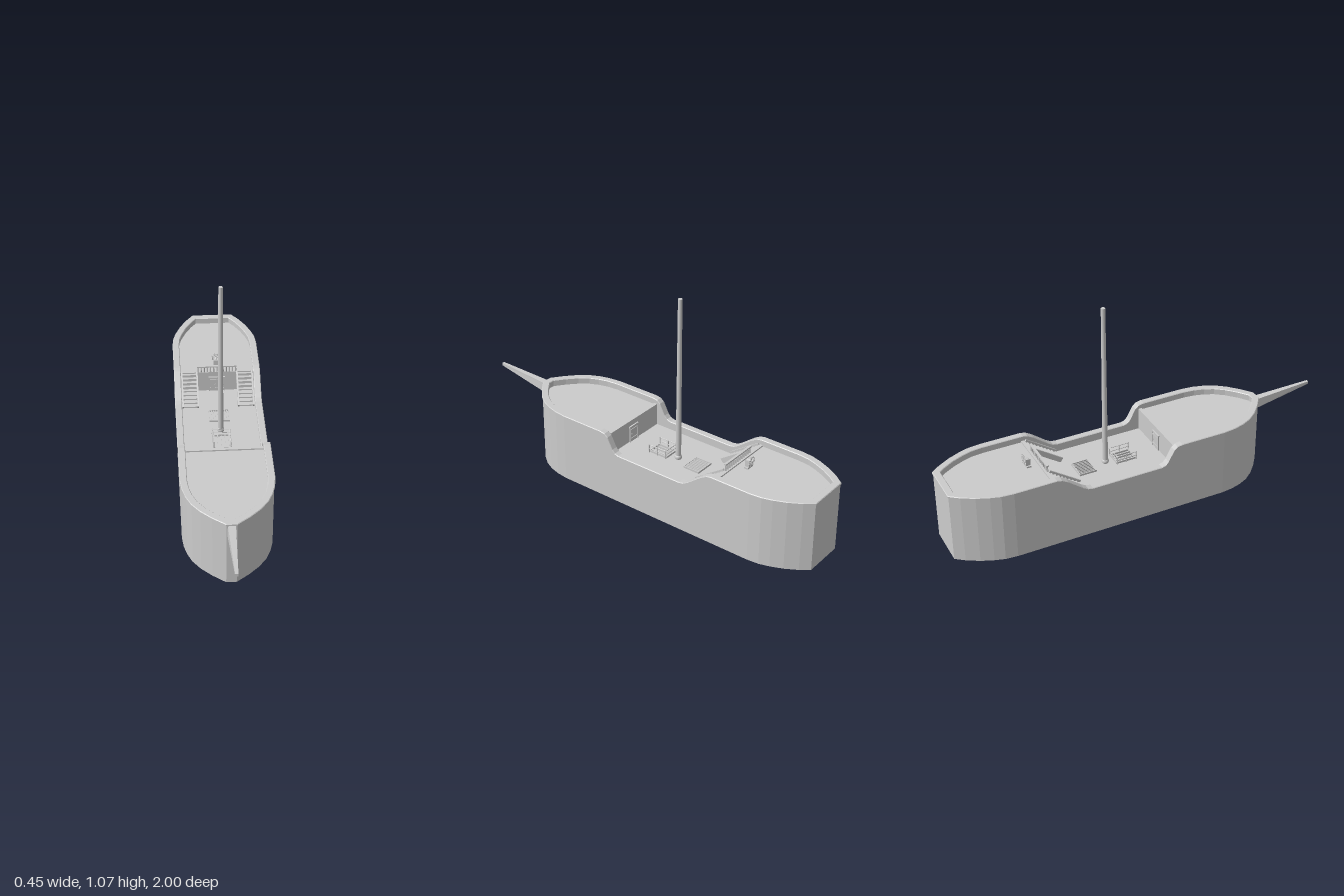
import * as THREE from 'three';

const MAIN = 0.22, UPPER = 0.33; // deck heights
const mat = new THREE.MeshStandardMaterial({ color: 0xcccccc, side: THREE.DoubleSide, flatShading: true });
const smooth = new THREE.MeshStandardMaterial({ color: 0xcccccc });

function add(parent, name, geo, x = 0, y = 0, z = 0, m = mat) {
  const mesh = new THREE.Mesh(geo, m);
  mesh.name = name;
  mesh.position.set(x, y, z);
  parent.add(mesh);
  return mesh;
}
const box = (p, name, w, h, d, x, y, z) => add(p, name, new THREE.BoxGeometry(w, h, d), x, y, z);
function sub(parent, name) {
  const g = new THREE.Group();
  g.name = name;
  parent.add(g);
  return g;
}
// thin round bar between two points
function bar(p, name, a, b, r = 0.003) {
  const A = new THREE.Vector3(...a), B = new THREE.Vector3(...b);
  const m = add(p, name, new THREE.CylinderGeometry(r, r, A.distanceTo(B), 6));
  m.position.copy(A).add(B).multiplyScalar(0.5);
  m.quaternion.setFromUnitVectors(new THREE.Vector3(0, 1, 0), B.sub(A).normalize());
}

// sheer line: [z, height of the rail top]
const sheer = [[-0.51, 0.365], [-0.485, 0.36], [-0.455, 0.343], [-0.38, 0.285], [-0.355, 0.27], [-0.33, 0.265],
  [0.035, 0.265], [0.055, 0.272], [0.07, 0.288], [0.1, 0.345], [0.118, 0.36], [0.145, 0.365]];
function railY(z) {
  if (z <= sheer[0][0]) return sheer[0][1];
  for (let i = 1; i < sheer.length; i++) {
    const [z0, y0] = sheer[i - 1], [z1, y1] = sheer[i];
    if (z <= z1) return y0 + (y1 - y0) * (z - z0) / (z1 - z0);
  }
  return 0.365;
}

// plan outline, left half from stern to bow, then mirrored
const half = [[0.104, -0.994], [0.138, -0.95], [0.173, -0.89], [0.198, -0.83], [0.213, -0.78], [0.219, -0.72],
  ...sheer.map(s => [0.219, s[0]]),
  [0.219, 0.38], [0.212, 0.44], [0.197, 0.495], [0.174, 0.545], [0.136, 0.595], [0.086, 0.642], [0.025, 0.688]];
const outline = [...half, ...half.slice().reverse().map(([x, z]) => [-x, z])];

// outline moved outwards by d with mitred corners
function offset(d) {
  const n = outline.length;
  const normal = (a, b) => {
    const l = Math.hypot(b[0] - a[0], b[1] - a[1]);
    return [(b[1] - a[1]) / l, -(b[0] - a[0]) / l];
  };
  return outline.map((p, i) => {
    const u = normal(outline[(i + n - 1) % n], p), v = normal(p, outline[(i + 1) % n]);
    const k = d / (1 + u[0] * v[0] + u[1] * v[1]);
    return [p[0] + (u[0] + v[0]) * k, p[1] + (u[1] + v[1]) * k];
  });
}

// closed ring following the outline; the section is a loop of [offset, height at z]
function ring(section) {
  const n = outline.length, m = section.length, pos = [], idx = [];
  const paths = section.map(s => offset(s[0]));
  for (let i = 0; i < n; i++) {
    for (let j = 0; j < m; j++) {
      pos.push(paths[j][i][0], section[j][1](outline[i][1]), paths[j][i][1]);
      const k = ((i + 1) % n) * m, a = i * m + j, b = i * m + (j + 1) % m, c = k + (j + 1) % m;
      idx.push(a, b, c, a, c, k + j);
    }
  }
  const g = new THREE.BufferGeometry();
  g.setAttribute('position', new THREE.Float32BufferAttribute(pos, 3));
  g.setIndex(idx);
  const flat = g.toNonIndexed();
  flat.computeVertexNormals();
  return flat;
}

// deck plate between two z positions, top at y
function deck(parent, name, z0, z1, y, thick) {
  const inside = offset(-0.012).slice(0, half.length).filter(p => p[1] > z0 && p[1] < z1);
  if (z0 > -0.9) inside.unshift([0.207, z0]);
  if (z1 < 0.6) inside.push([0.207, z1]);
  const pts = [...inside, ...inside.slice().reverse().map(([x, z]) => [-x, z])];
  const shape = new THREE.Shape(pts.map(p => new THREE.Vector2(...p)));
  const g = new THREE.ExtrudeGeometry(shape, { depth: thick, bevelEnabled: false }).rotateX(Math.PI / 2);
  add(parent, name, g, 0, y, 0);
}

// row of slats inside a flat frame
function grating(p, w, d, z, slats) {
  const g = sub(p, 'grating');
  for (const s of [-1, 1]) {
    box(g, 'gratingSide', 0.005, 0.012, d, s * w / 2, MAIN + 0.004, z);
    box(g, 'gratingEnd', w + 0.005, 0.012, 0.005, 0, MAIN + 0.004, z + s * d / 2);
  }
  for (let i = 1; i < slats; i++) box(g, 'gratingSlat', 0.004, 0.012, d, (i / slats - 0.5) * w, MAIN + 0.003, z);
}

// framed door with braces and a handle, facing dir
function door(p, x, z, dir, w) {
  const g = sub(p, 'door'), h = 0.085, y = MAIN + h / 2;
  box(g, 'doorPanel', w, h, 0.006, x, y, z);
  for (const s of [-1, 1]) {
    box(g, 'doorPost', 0.004, h + 0.004, 0.008, x + s * w / 2, y, z + dir * 0.002);
    box(g, 'doorBrace', w, 0.006, 0.008, x, y + s * 0.025, z + dir * 0.002);
  }
  box(g, 'doorLintel', w + 0.008, 0.005, 0.009, x, MAIN + h, z + dir * 0.002);
  add(g, 'doorHandle', new THREE.SphereGeometry(0.003, 8, 6), x + w * 0.3, y, z + dir * 0.006);
}

export function createModel() {
  const ship = new THREE.Group();
  ship.name = 'ship';

  // hull wall and chamfered cap rail
  const bottom = () => 0, below = d => z => railY(z) - d;
  add(ship, 'hullWall', ring([[0, bottom], [0, below(0.006)], [-0.028, below(0.006)], [-0.028, bottom]]));
  add(ship, 'capRail', ring([[0.004, below(0.01)], [0.004, below(0.003)], [0.001, below(0)],
    [-0.028, below(0)], [-0.031, below(0.003)], [-0.031, below(0.01)]]));

  // decks and the bulkheads between them
  deck(ship, 'mainDeck', -0.51, 0.13, MAIN, 0.02);
  deck(ship, 'foreDeck', 0.122, 1, UPPER, 0.015);
  deck(ship, 'quarterDeck', -1, -0.5, UPPER, 0.015);
  deck(ship, 'lowerDeck', -1, 1, 0.075, 0.015);
  for (const z of [-0.509, 0.128]) {
    box(ship, 'bulkhead', 0.39, UPPER - 0.042, 0.016, 0, (UPPER + 0.042) / 2, z);
    box(ship, 'deckEdge', 0.385, 0.016, 0.018, 0, UPPER - 0.001, z);
  }

  // mast with collar
  add(ship, 'mast', new THREE.CylinderGeometry(0.0105, 0.0145, 1.05, 16), 0, 0.545, -0.16, smooth);
  add(ship, 'mastCollar', new THREE.SphereGeometry(0.018, 16, 10), 0, MAIN + 0.008, -0.16, smooth);

  // bowsprit: a box tapered towards the tip
  const spar = new THREE.BoxGeometry(2, 2, 1);
  const v = spar.attributes.position;
  for (let i = 0; i < v.count; i++) {
    const t = v.getZ(i) + 0.5, top = v.getY(i) > 0;
    const w = THREE.MathUtils.lerp(top ? 0.019 : 0.022, 0.007, t);
    const y = top ? THREE.MathUtils.lerp(0.349, 0.363, t) : THREE.MathUtils.lerp(0.296, 0.349, t);
    v.setXYZ(i, v.getX(i) * w, y, 0.665 + 0.335 * t);
  }
  spar.computeVertexNormals();
  add(ship, 'bowsprit', spar);

  // stairs on both sides up to the quarterdeck
  const steps = 9, z0 = -0.345, z1 = -0.505;
  for (const s of [-1, 1]) {
    const stairs = sub(ship, 'stairs');
    for (let i = 0; i < steps; i++) {
      const t = (i + 0.5) / steps;
      box(stairs, 'stairTread', 0.075, 0.007, 0.016, s * 0.143, MAIN + (i + 1) / steps * 0.11 - 0.003, z0 + (z1 - z0) * t);
    }
    for (const x of [0.104, 0.182]) {
      const str = box(stairs, 'stairStringer', 0.008, 0.026, 0.19, s * x, (MAIN + UPPER) / 2 + 0.006, (z0 + z1) / 2);
      str.rotation.x = Math.atan2(0.11, 0.16);
    }
  }

  // balustrade at the edge of the quarterdeck
  const balustrade = sub(ship, 'balustrade');
  box(balustrade, 'handrail', 0.206, 0.007, 0.012, 0, 0.37, -0.505);
  for (let i = 0; i <= 12; i++) {
    add(balustrade, 'baluster', new THREE.CylinderGeometry(0.0035, 0.005, 0.04, 6), (i / 6 - 1) * 0.098, 0.35, -0.505);
  }

  // steering wheel on its stand
  const helm = sub(ship, 'helm');
  box(helm, 'helmBase', 0.044, 0.008, 0.022, 0, UPPER + 0.004, -0.566);
  box(helm, 'helmStand', 0.028, 0.042, 0.022, 0, UPPER + 0.021, -0.566);
  add(helm, 'wheelRim', new THREE.TorusGeometry(0.019, 0.0025, 6, 20), 0, 0.37, -0.583, smooth);
  bar(helm, 'wheelAxle', [0, 0.37, -0.59], [0, 0.37, -0.56], 0.005);
  for (let i = 0; i < 4; i++) {
    const a = Math.PI * (i + 0.5) / 4, c = Math.cos(a) * 0.027, d = Math.sin(a) * 0.027;
    bar(helm, 'wheelSpoke', [-c, 0.37 - d, -0.583], [c, 0.37 + d, -0.583], 0.002);
  }

  // deck hatches: a flat one and a railed one
  grating(ship, 0.1, 0.085, -0.275, 9);
  grating(ship, 0.075, 0.1, -0.065, 4);
  const railing = sub(ship, 'hatchRailing');
  for (const s of [-1, 1]) {
    for (const z of [-0.115, -0.065, -0.015]) bar(railing, 'railingPost', [s * 0.043, MAIN, z], [s * 0.043, MAIN + 0.045, z]);
    for (const y of [0.022, 0.042]) {
      bar(railing, 'railingBar', [s * 0.043, MAIN + y, -0.12], [s * 0.043, MAIN + y, -0.01], 0.0025);
      if (s > 0) bar(railing, 'railingBar', [-0.048, MAIN + y, -0.115], [0.048, MAIN + y, -0.115], 0.0025);
    }
  }

  // doors in both bulkheads
  for (const x of [-0.02, 0.02]) door(ship, x, -0.5, 1, 0.038);
  door(ship, 0, 0.119, -1, 0.058);

  return ship;
}
